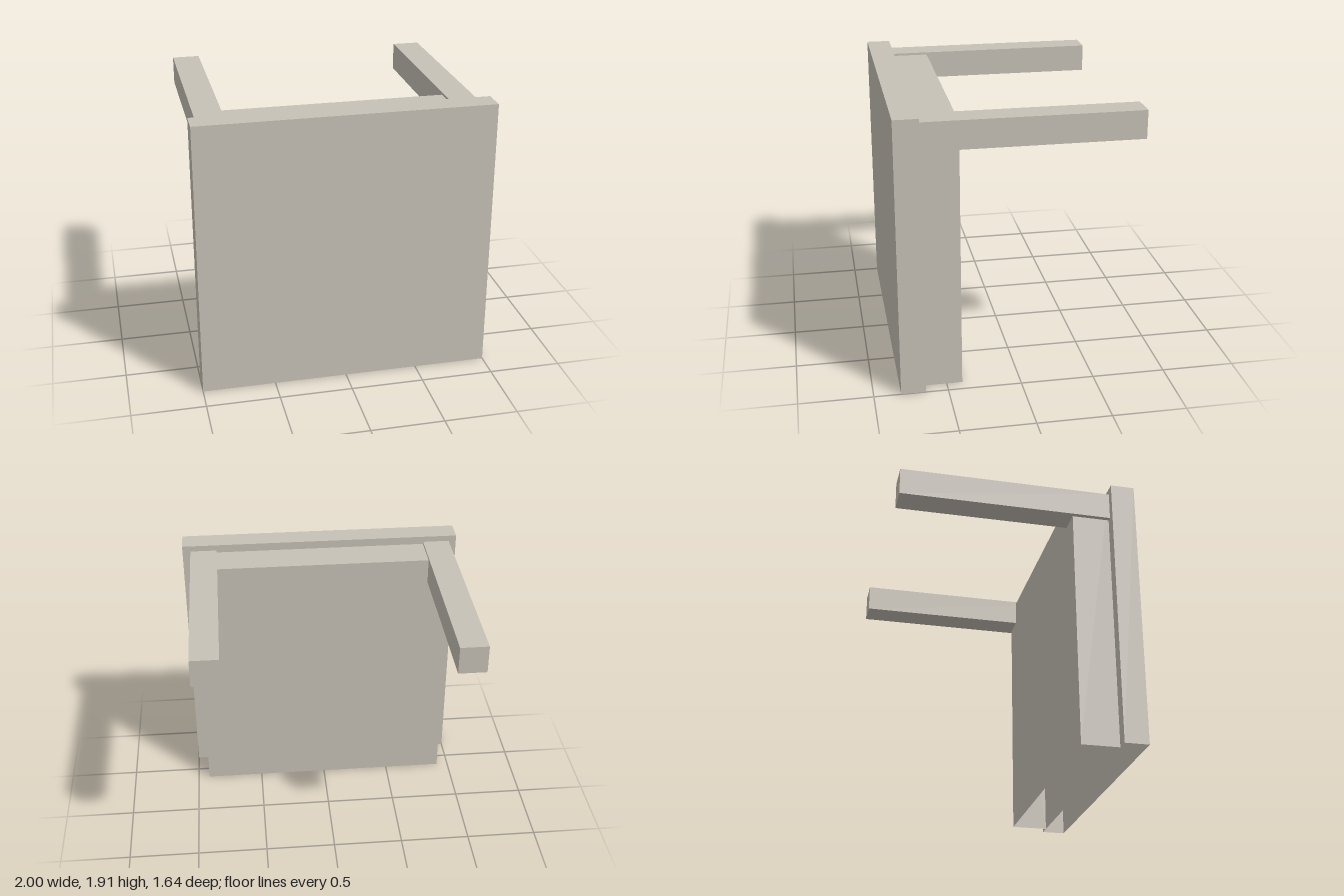
import * as THREE from 'three';

export function createModel() {
  const model = new THREE.Group();
  const stone = new THREE.MeshStandardMaterial({ color: 0xc7c1b6, side: THREE.DoubleSide });
  stone.name = 'warm grey';

  // Box given by its lower and upper corners
  const block = (name, [x0, y0, z0], [x1, y1, z1]) => {
    const mesh = new THREE.Mesh(new THREE.BoxGeometry(x1 - x0, y1 - y0, z1 - z0), stone);
    mesh.name = name;
    mesh.position.set((x0 + x1) / 2, (y0 + y1) / 2, (z0 + z1) / 2);
    model.add(mesh);
    return mesh;
  };

  // Leaves a box hollow and open underneath by dropping its bottom face
  const openBottom = ({ geometry }) => {
    const index = Array.from(geometry.index.array);
    index.splice(18, 6);
    geometry.setIndex(index);
    geometry.clearGroups();
  };

  // Wide front shell with a slightly smaller shell behind it
  openBottom(block('frontPanel', [-1, 0, 0.652], [1, 1.914, 0.818]));
  openBottom(block('backPanel', [-0.915, 0, 0.393], [0.915, 1.857, 0.652]));

  // Two square beams reaching backwards from the top corners
  block('rightBeam', [-0.947, 1.68, -0.818], [-0.757, 1.873, 0.652]);
  block('leftBeam', [0.753, 1.68, -0.818], [0.943, 1.873, 0.652]);

  return model;
}
